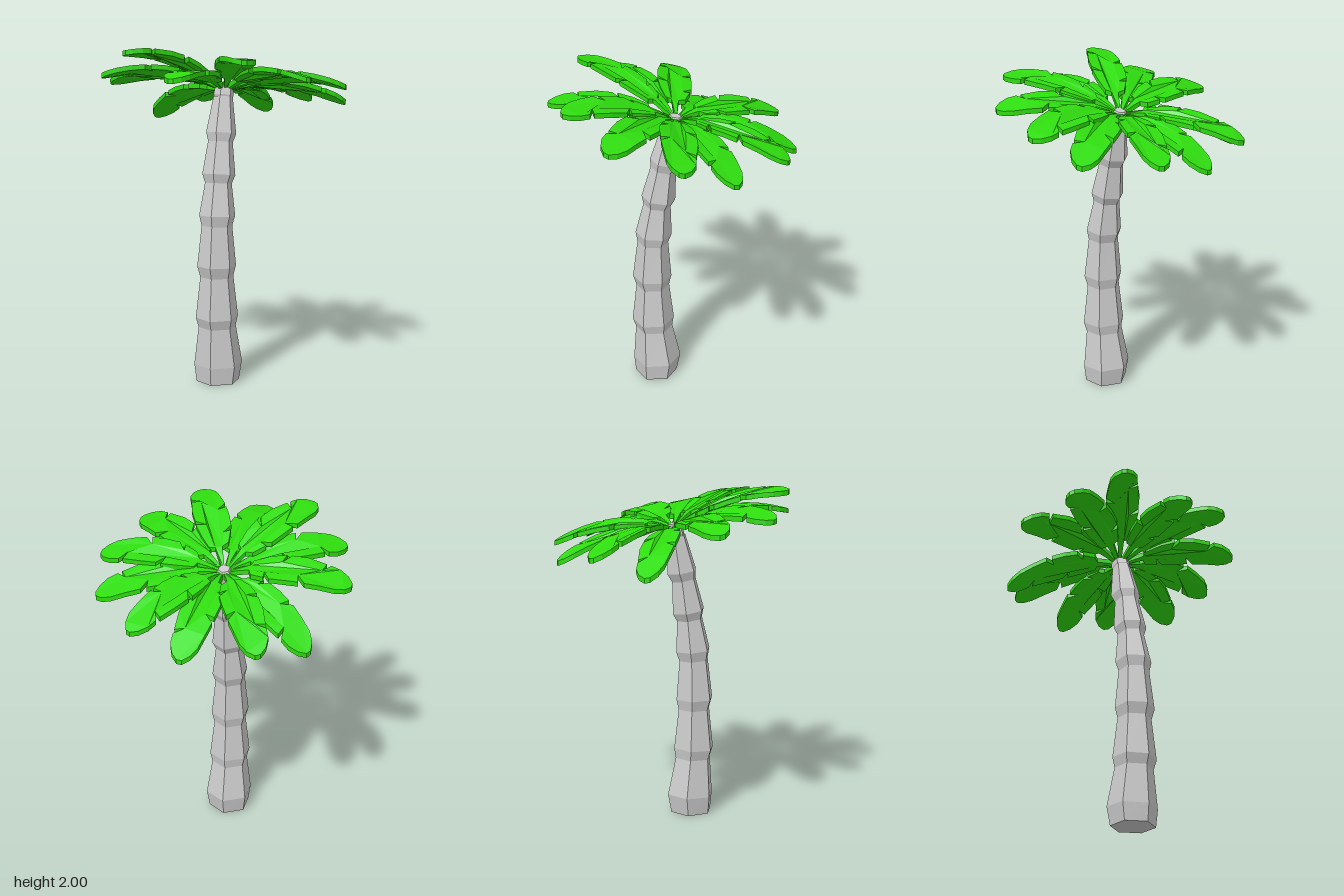
import * as THREE from 'three';

const bark = new THREE.MeshStandardMaterial({ color: 0xcccccc, flatShading: true });
const leaf = new THREE.MeshStandardMaterial({ color: 0x2fdc0f, flatShading: true });

// Hexagonal skin through rings of [y, centre z, radius], each ring tilted by the lean
function hexLoft(rings, name) {
  const pos = [], idx = [], n = 6;
  rings.forEach(([y, cz, r], k) => {
    const a = rings[Math.max(k - 2, 0)], b = rings[Math.min(k + 2, rings.length - 1)];
    const slope = k === 0 ? 0 : -(b[1] - a[1]) / (b[0] - a[0]);
    for (let i = 0; i < n; i++) {
      const t = i / n * Math.PI * 2;
      pos.push(r * Math.sin(t), y + slope * r * Math.cos(t), cz + r * Math.cos(t));
    }
  });
  for (let k = 0; k < rings.length - 1; k++) {
    for (let i = 0; i < n; i++) {
      const j = (i + 1) % n, a = k * n + i, b = k * n + j;
      idx.push(a, b, b + n, a, b + n, a + n);
    }
  }
  const top = (rings.length - 1) * n;
  for (let i = 1; i < n - 1; i++) idx.push(0, i + 1, i, top, top + i, top + i + 1);
  const geo = new THREE.BufferGeometry();
  geo.setAttribute('position', new THREE.Float32BufferAttribute(pos, 3));
  geo.setIndex(idx);
  const flat = geo.toNonIndexed();
  flat.computeVertexNormals();
  const mesh = new THREE.Mesh(flat, bark);
  mesh.name = name;
  return mesh;
}

// Frond outline: [distance, half width], with notches, for each side
const sideA = [
  [0, 0.006], [0.09, 0.014], [0.15, 0.02], [0.16, 0.055], [0.25, 0.085], [0.34, 0.1],
  [0.325, 0.04], [0.37, 0.098], [0.46, 0.1], [0.57, 0.085],
  [0.555, 0.03], [0.595, 0.083], [0.65, 0.078], [0.7, 0.052]];
const sideB = [
  [0, 0.006], [0.09, 0.014], [0.15, 0.02], [0.17, 0.06], [0.25, 0.088],
  [0.245, 0.045], [0.285, 0.098], [0.37, 0.103], [0.45, 0.1],
  [0.435, 0.045], [0.485, 0.1], [0.57, 0.09], [0.65, 0.078], [0.7, 0.052]];
const LENGTH = 0.73, THICK = 0.028, CROWN_Y = 1.74, CROWN_Z = -0.02;

// Flat notched plate, aimed at its tip and bent into an arch
function frond([tipX, tipY, tipZ], flip) {
  const m = flip ? -1 : 1;
  const outline = [
    ...sideA.map(([r, w]) => new THREE.Vector2(r, w * m)),
    new THREE.Vector2(LENGTH, 0.015 * m), new THREE.Vector2(LENGTH, -0.015 * m),
    ...sideB.map(([r, w]) => new THREE.Vector2(r, -w * m)).reverse()];
  const geo = new THREE.ExtrudeGeometry(new THREE.Shape(outline), { depth: THICK, bevelEnabled: false });
  const p = geo.attributes.position;
  const reach = Math.hypot(tipX, tipZ - CROWN_Z);
  const dx = tipX / reach, dz = (tipZ - CROWN_Z) / reach;
  for (let i = 0; i < p.count; i++) {
    const t = p.getX(i) / LENGTH, r = t * reach, w = p.getY(i);
    const y = CROWN_Y + (tipY - CROWN_Y) * t + 0.28 * t * (1 - t) - 0.25 * dx * w;
    p.setXYZ(i, dx * r + dz * w, y + p.getZ(i) - THICK / 2, CROWN_Z + dz * r - dx * w);
  }
  geo.computeVertexNormals();
  const mesh = new THREE.Mesh(geo, leaf);
  mesh.name = 'frond';
  return mesh;
}

export function createModel() {
  const model = new THREE.Group();
  model.name = 'palmTree';

  // Leaning trunk of flared segments
  model.add(hexLoft([
    [0, 0.1, 0.13], [0.11, 0.094, 0.146], [0.34, 0.112, 0.113], [0.4, 0.117, 0.128],
    [0.645, 0.118, 0.1], [0.71, 0.121, 0.117], [0.95, 0.115, 0.092], [1.01, 0.11, 0.108],
    [1.2, 0.088, 0.08], [1.25, 0.08, 0.099], [1.44, 0.05, 0.074], [1.49, 0.037, 0.09],
    [1.7, 0, 0.058]], 'trunk'));

  // Bud where the fronds meet
  model.add(hexLoft([
    [1.67, 0, 0.045], [1.71, -0.008, 0.06], [1.745, -0.016, 0.056], [1.775, -0.02, 0.034]], 'crownBud'));

  // Ring of fronds, by tip position
  const crown = new THREE.Group();
  crown.name = 'fronds';
  [
    [-0.73, 1.77, -0.03], [-0.58, 1.54, -0.4], [-0.36, 1.63, -0.64], [0.05, 1.57, -0.71],
    [0.36, 1.65, -0.63], [0.66, 1.66, -0.32], [0.73, 1.77, -0.03], [0.61, 1.83, 0.36],
    [0.32, 1.93, 0.6], [-0.06, 1.83, 0.7], [-0.4, 1.97, 0.53], [-0.63, 1.83, 0.33],
  ].forEach((tip, i) => crown.add(frond(tip, i % 2 === 1)));
  model.add(crown);
  return model;
}
